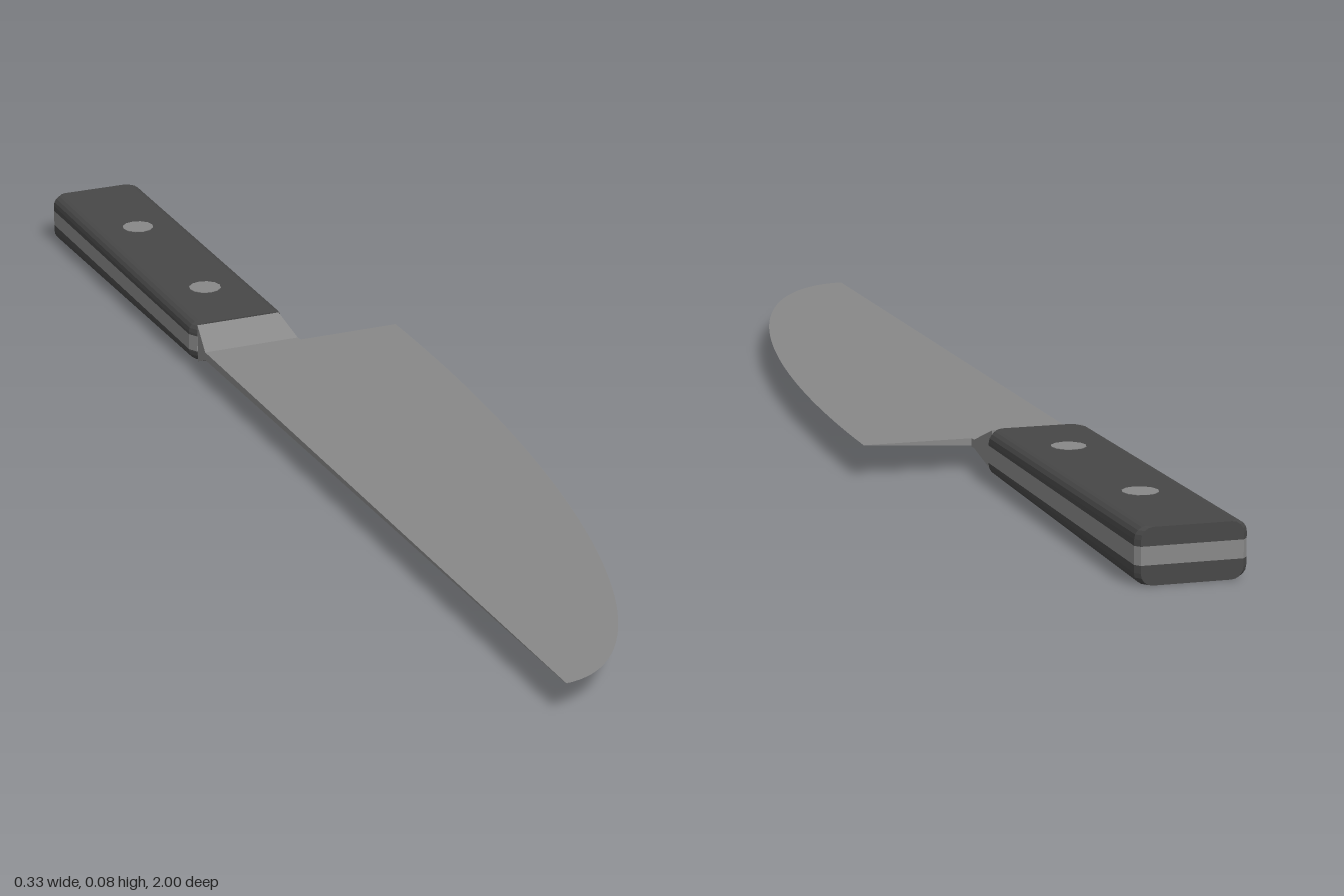
import * as THREE from 'three';

const SPINE = -0.163, EDGE = 0.163, HEEL = -0.28, BACK = -1, FRONT = -0.345;
const lerp = THREE.MathUtils.lerp;

// Faceted solid through cross-sections: [{ z, pts: [[x, y], ...] }] with z rising, points anticlockwise from +z
function loft(sections) {
  const pos = [], n = sections[0].pts.length;
  const put = (s, j) => pos.push(s.pts[j % n][0], s.pts[j % n][1], s.z);
  for (let i = 0; i < sections.length - 1; i++) {
    const a = sections[i], b = sections[i + 1];
    for (let j = 0; j < n; j++) {
      put(a, j); put(a, j + 1); put(b, j + 1);
      put(a, j); put(b, j + 1); put(b, j);
    }
  }
  const first = sections[0], last = sections[sections.length - 1];
  for (let j = 1; j < n - 1; j++) {
    put(last, 0); put(last, j); put(last, j + 1);
    put(first, 0); put(first, j + 1); put(first, j);
  }
  const g = new THREE.BufferGeometry();
  g.setAttribute('position', new THREE.Float32BufferAttribute(pos, 3));
  g.computeVertexNormals();
  return g;
}

const rect = (x0, x1, y0, y1) => [[x0, y0], [x1, y0], [x1, y1], [x0, y1]];

export function createModel() {
  const model = new THREE.Group();
  const steel = new THREE.MeshStandardMaterial({ color: 0x888888 });
  steel.name = 'steel';
  const black = new THREE.MeshStandardMaterial({ color: 0x474747 });
  black.name = 'dark handle';
  const add = (name, geometry, material) => {
    const mesh = new THREE.Mesh(geometry, material);
    mesh.name = name;
    model.add(mesh);
    return mesh;
  };

  // Blade: flat top, wedge underside, quarter-ellipse cutting edge
  const blade = [], steps = 48;
  for (let i = 0; i <= steps; i++) {
    const a = (i / steps) * Math.PI / 2;
    const s = Math.sin(a), w = Math.max((EDGE - SPINE) * Math.cos(a), 0.0005);
    const t = lerp(0.013, 0.0005, s);
    blade.push({
      z: lerp(HEEL, 1, s),
      pts: [[SPINE, 0.05 - t], [SPINE + w * 0.5, 0.05 - t * 0.85], [SPINE + w, 0.05], [SPINE, 0.05]],
    });
  }
  add('blade', loft(blade), steel);

  // Bolster: flares from the blade thickness up to the handle
  add('bolster', loft([
    { z: FRONT, pts: rect(-0.154, -0.014, 0.013, 0.075) },
    { z: -0.29, pts: rect(SPINE, -0.004, 0.037, 0.05) },
    { z: HEEL, pts: rect(SPINE, -0.003, 0.037, 0.05) },
  ]), steel);

  // Handle stations: z and side inset, softening the end corners
  const stations = [[BACK, 0.007], [-0.992, 0], [-0.36, 0], [FRONT, 0.008]];
  const left = SPINE, right = -0.004, low = 0.03, high = 0.056;

  // Tang between the two scales
  add('tang', loft(stations.map(([z, d]) => ({
    z, pts: rect(left + d, right - d, low, high),
  }))), steel);

  // Scales: rounded outer edges, slightly thicker toward the butt
  const outerY = (side, z) => {
    const k = (z - BACK) / (FRONT - BACK);
    return side > 0 ? lerp(0.082, 0.077, k) : lerp(0.002, 0.011, k);
  };
  const scaleSection = (side, z, d) => {
    const y0 = side > 0 ? high : low, y1 = outerY(side, z);
    const r = 0.017, x0 = left + d, x1 = right - d;
    const pts = [[x0, y0], [x1, y0]];
    for (let i = 0; i <= 4; i++) {
      const a = i * Math.PI / 8;
      pts.push([x1 - r + r * Math.cos(a), y1 - side * r * (1 - Math.sin(a))]);
    }
    for (let i = 4; i >= 0; i--) {
      const a = i * Math.PI / 8;
      pts.push([x0 + r - r * Math.cos(a), y1 - side * r * (1 - Math.sin(a))]);
    }
    return { z, pts: side > 0 ? pts : pts.reverse() };
  };
  for (const side of [1, -1]) {
    const where = side > 0 ? 'upper' : 'lower';
    add(where + 'Scale', loft(stations.map(([z, d]) => scaleSection(side, z, d))), black);

    // Rivets almost flush with the scale
    for (const z of [-0.795, -0.49]) {
      const rivet = add(where + 'Rivet', new THREE.CylinderGeometry(0.026, 0.026, 0.006, 12), steel);
      rivet.position.set(-0.083, outerY(side, z) - side * 0.0022, z);
    }
  }
  return model;
}
